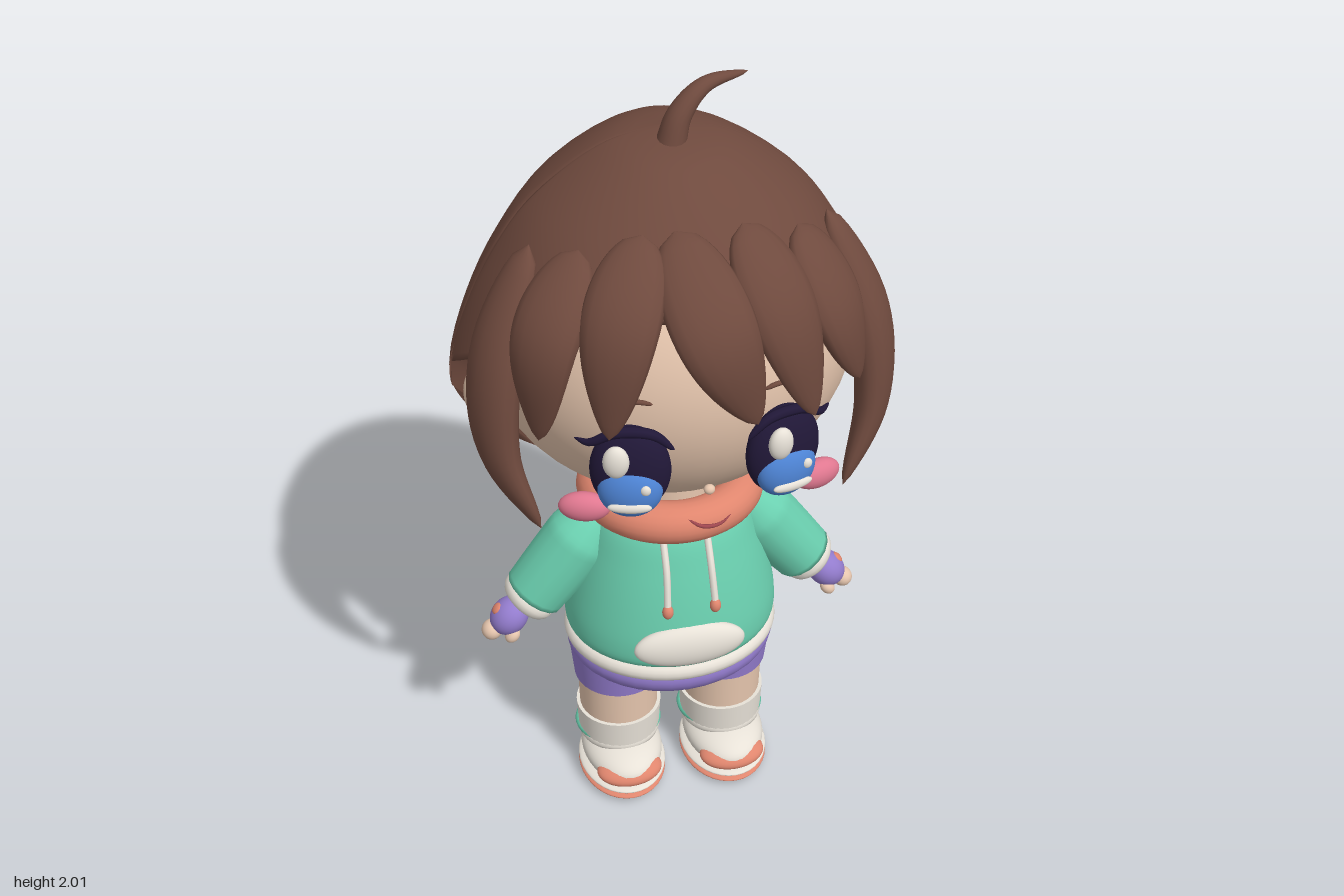
import * as THREE from 'three';

const paint = (name, color, side = THREE.FrontSide) => {
  const m = new THREE.MeshStandardMaterial({ color, side });
  m.name = name;
  return m;
};
const V = (x, y, z) => new THREE.Vector3(x, y, z);

// Closed loops of points, row by row
function grid(rows, cols, fn) {
  const pos = [], idx = [];
  for (let i = 0; i <= rows; i++)
    for (let j = 0; j < cols; j++) pos.push(...fn(i, j / cols).toArray());
  for (let i = 0; i < rows; i++)
    for (let j = 0; j < cols; j++) {
      const k = (j + 1) % cols;
      const a = i * cols + j, b = i * cols + k, c = a + cols, d = b + cols;
      idx.push(a, c, b, b, c, d);
    }
  const g = new THREE.BufferGeometry();
  g.setAttribute('position', new THREE.Float32BufferAttribute(pos, 3));
  g.setIndex(idx);
  g.computeVertexNormals();
  return g;
}

// Oval section swept along a curve; outward(p) gives the thin direction
function sweep(points, width, thick, profile, outward, rows = 24, cols = 16) {
  const curve = new THREE.CatmullRomCurve3(points.map(p => V(...p)));
  return grid(rows, cols, (i, v) => {
    const s = i / rows, p = curve.getPoint(s), t = curve.getTangent(s);
    const n = outward(p).addScaledVector(t, -outward(p).dot(t)).normalize();
    const b = t.clone().cross(n), r = profile(s), q = v * Math.PI * 2;
    return p.addScaledVector(b, width * r * Math.cos(q)).addScaledVector(n, thick * r * Math.sin(q));
  });
}
const leaf = s => Math.pow(Math.max(0, Math.sin(Math.PI * Math.pow(s, 0.75))), 0.65);
const fromHead = p => p.clone().sub(V(0, 1.35, 0.05));
const forward = () => V(0, 0, 1);

export function createModel() {
  const root = new THREE.Group();
  root.name = 'chibiFigure';
  const hair = paint('hairBrown', 0x6f4a3e, THREE.DoubleSide);
  const skin = paint('skin', 0xe6c6ae);
  const teal = paint('hoodieTeal', 0x6bd0b0);
  const coral = paint('coral', 0xe0866e);
  const purple = paint('purple', 0x937ccd);
  const white = paint('cream', 0xe8e2d8);
  const navy = paint('eyeNavy', 0x211838);
  const blue = paint('irisBlue', 0x4f86d8);
  const pink = paint('blushPink', 0xe07890);
  const red = paint('mouthRed', 0xa04850);

  const add = (name, geo, mat, pos = [0, 0, 0], scale = [1, 1, 1], rot = [0, 0, 0], parent = root) => {
    const m = new THREE.Mesh(geo, mat);
    m.name = name;
    m.position.set(...pos);
    m.scale.set(...scale);
    m.rotation.set(...rot);
    parent.add(m);
    return m;
  };
  const sphere = new THREE.SphereGeometry(1, 36, 24);
  const ball = (name, mat, pos, scale, rot, parent) => add(name, sphere, mat, pos, scale, rot, parent);
  const can = (name, mat, pos, top, bottom, h) =>
    add(name, new THREE.CylinderGeometry(top, bottom, h, 36), mat, pos);

  // Head, deeper at the face than at the back
  const headGeo = new THREE.SphereGeometry(1, 48, 32);
  const hp = headGeo.attributes.position;
  for (let i = 0; i < hp.count; i++) hp.setZ(i, hp.getZ(i) * (hp.getZ(i) > 0 ? 0.43 : 0.3));
  headGeo.scale(0.45, 0.425, 1);
  headGeo.computeVertexNormals();
  add('head', headGeo, skin, [0, 1.388, 0.08]);
  can('neck', skin, [0, 0.94, 0.12], 0.11, 0.11, 0.14);

  // Hair cap: rows of height, side, back and front reach, cut by a hairline
  const rows = [[1.89, 0, 0, 0], [1.855, 0.15, 0.15, 0.16], [1.74, 0.31, 0.29, 0.31], [1.6, 0.41, 0.375, 0.42],
    [1.45, 0.48, 0.44, 0.45], [1.3, 0.52, 0.47, 0.46], [1.2, 0.495, 0.445, 0.4], [1.1, 0.41, 0.33, 0.3],
    [1.02, 0.29, 0.18, 0.2], [0.96, 0.15, 0.05, 0.1]];
  const reach = k => new THREE.CatmullRomCurve3(rows.map(r => V(r[1], r[0], r[k])), false, 'catmullrom');
  const back = reach(2), front = reach(3);
  const line = [[0, 2.8], [0.7, 2.9], [1.2, 4.05], [1.6, 4.85], [1.67, 9], [3.2, 9]];
  const hairline = t => {
    const k = line.findIndex(l => l[0] > t), [a, b] = [line[k - 1], line[k]];
    return (a[1] + (b[1] - a[1]) * (t - a[0]) / (b[0] - a[0])) / 9;
  };
  add('hairCap', grid(37, 160, (i, v) => {
    const t = v * Math.PI * 2, rim = i === 37 ? 0.86 : 1, c = Math.cos(t);
    const u = Math.min(i, 36) / 36 * hairline(Math.min(t, Math.PI * 2 - t));
    const p = (c > 0 ? front : back).getPoint(u);
    const depth = c > 0 ? c : -Math.pow(-c, 1.22);
    return V(p.x * Math.sin(t) * rim, p.y, 0.08 + p.z * depth * rim);
  }), hair);

  // Fringe locks: root, middle, tip, width
  const locks = [
    [[-0.25, 1.74, 0.32], [-0.35, 1.57, 0.415], [-0.37, 1.32, 0.42], 0.085],
    [[-0.12, 1.79, 0.37], [-0.2, 1.62, 0.49], [-0.23, 1.37, 0.52], 0.088],
    [[-0.05, 1.79, 0.37], [0.01, 1.61, 0.54], [0.1, 1.38, 0.55], 0.095],
    [[0.1, 1.79, 0.37], [0.17, 1.61, 0.49], [0.24, 1.36, 0.52], 0.088],
    [[0.24, 1.74, 0.32], [0.31, 1.57, 0.415], [0.37, 1.38, 0.43], 0.085]];
  for (const [a, b, c, w] of locks) add('fringeLock', sweep([a, b, c], w, 0.04, leaf, fromHead), hair);
  for (const s of [-1, 1])
    add('sideLock', sweep([[s * 0.34, 1.7, 0.21], [s * 0.435, 1.45, 0.27], [s * 0.445, 1.22, 0.31], [s * 0.365, 1.03, 0.375]],
      0.078, 0.05, leaf, fromHead), hair);
  add('hairSprout', sweep([[-0.005, 1.85, 0.13], [0.02, 1.93, 0.12], [0.08, 1.985, 0.1], [0.19, 1.988, 0.06]],
    0.036, 0.04, s => Math.pow(1 - s, 0.6), forward), hair);

  // Face
  ball('nose', skin, [0, 1.19, 0.515], [0.013, 0.012, 0.012]);
  add('mouth', sweep([[-0.05, 1.118, 0.525], [-0.025, 1.104, 0.535], [0, 1.1, 0.537], [0.025, 1.104, 0.535], [0.05, 1.118, 0.525]],
    0.005, 0.005, leaf, forward, 20, 8), red);
  for (const s of [-1, 1]) {
    ball('ear', skin, [s * 0.455, 1.25, 0.11], [0.04, 0.07, 0.04]);
    ball('cheek', pink, [s * 0.275, 1.135, 0.445], [0.06, 0.037, 0.03], [0, s * 0.3, 0]);
    add('eyebrow', sweep([[s * 0.125, 1.432, 0.495], [s * 0.16, 1.442, 0.492], [s * 0.19, 1.432, 0.482]],
      0.006, 0.006, leaf, forward, 12, 8), hair);
    const eye = new THREE.Group();
    eye.name = 'eye';
    eye.position.set(s * 0.176, 1.258, 0.487);
    eye.rotation.y = s * 0.25;
    root.add(eye);
    ball('eyeBase', navy, [0, 0, 0], [0.092, 0.118, 0.045], [0, 0, 0], eye);
    ball('iris', blue, [0, -0.042, 0.018], [0.074, 0.074, 0.042], [0, 0, 0], eye);
    ball('highlight', white, [-0.03, 0.05, 0.043], [0.03, 0.042, 0.02], [0, 0, 0], eye);
    ball('lowerShine', white, [0, -0.07, 0.053], [0.05, 0.014, 0.012], [0, 0, 0], eye);
    ball('smallShine', white, [0.036, -0.022, 0.052], [0.012, 0.013, 0.008], [0, 0, 0], eye);
    add('eyelash', sweep([[-s * 0.1, 0.065, 0.015], [-s * 0.05, 0.11, 0.02], [s * 0.03, 0.113, 0.02], [s * 0.09, 0.08, 0.01], [s * 0.125, 0.078, -0.01]],
      0.013, 0.013, leaf, forward, 24, 8), navy, [0, 0, 0], [1, 1, 1], [0, 0, 0], eye);
  }

  // Hoodie body, hem and shorts
  const bodyPts = [[0.2, 0.485], [0.262, 0.5], [0.272, 0.56], [0.255, 0.66], [0.225, 0.77], [0.19, 0.86], [0.13, 0.91], [0.05, 0.93]];
  const bodyCurve = new THREE.SplineCurve(bodyPts.map(p => new THREE.Vector2(...p)));
  add('hoodie', new THREE.LatheGeometry(bodyCurve.getPoints(40), 48), teal, [0, 0, 0.13], [1, 1, 0.86]);
  add('hem', new THREE.TorusGeometry(0.252, 0.024, 14, 56), white, [0, 0.477, 0.13], [1, 0.86, 1], [Math.PI / 2, 0, 0]);
  ball('shorts', purple, [0, 0.445, 0.13], [0.27, 0.105, 0.23]);
  ball('pocket', white, [0, 0.57, 0.35], [0.142, 0.062, 0.035], [-0.08, 0, 0]);
  ball('backPatch', white, [0, 0.64, -0.088], [0.038, 0.11, 0.026], [0.1, 0, 0]);
  ball('hood', teal, [0, 0.845, -0.08], [0.2, 0.08, 0.1], [-0.5, 0, 0]);

  // Scarf ring and its two tails
  add('scarf', new THREE.TorusGeometry(0.178, 0.056, 20, 56), coral, [0, 0.923, 0.13], [1, 0.94, 0.95], [Math.PI / 2, 0, 0]);
  const tailProfile = s => (0.68 + 0.32 * s) * Math.min(1, Math.pow((1 - s) * 16, 0.35));
  const behind = () => V(0, 1, -1);
  const A = V(0.03, 0.84, -0.12), B = V(0.055, 0.39, -0.592);
  const at = s => A.clone().lerp(B, s).toArray();
  add('longTail', sweep([at(0), at(1)], 0.102, 0.014, tailProfile, behind, 64), coral);
  add('tailStripe', sweep([at(0.78), at(0.84)], 0.1, 0.018, s => (s === 0 || s === 1 ? 0 : 0.97), behind, 20), white);
  add('shortTail', sweep([[-0.05, 0.83, -0.1], [-0.095, 0.585, -0.32]], 0.07, 0.014, tailProfile, behind, 64), coral);

  for (const s of [-1, 1]) {
    // Drawstring with bead end
    add('drawstring', sweep([[s * 0.055, 0.87, 0.29], [s * 0.056, 0.8, 0.335], [s * 0.06, 0.71, 0.365]],
      0.009, 0.009, () => 1, forward, 16, 8), white);
    ball('drawstringEnd', coral, [s * 0.06, 0.7, 0.366], [0.014, 0.02, 0.014]);

    // Sleeve, cuff and fingerless glove
    add('sleeve', sweep([[s * 0.165, 0.875, 0.13], [s * 0.265, 0.74, 0.13], [s * 0.36, 0.615, 0.13]], 0.09, 0.088,
      q => Math.min(1, Math.pow(q * 3.2, 0.5)) * (q === 1 ? 0.3 : 1) * (1 - 0.12 * q * q), forward), teal);
    const arm = new THREE.Group();
    arm.name = 'hand';
    arm.position.set(s * 0.365, 0.615, 0.13);
    arm.rotation.z = s * 0.75;
    root.add(arm);
    add('cuff', new THREE.TorusGeometry(0.045, 0.029, 14, 32), white, [0, 0, 0], [1, 1, 1], [Math.PI / 2, 0, 0], arm);
    ball('glove', purple, [0, -0.08, 0], [0.046, 0.055, 0.048], [0, 0, 0], arm);
    ball('finger', skin, [s * 0.008, -0.14, 0], [0.026, 0.027, 0.028], [0, 0, 0], arm);
    ball('thumb', skin, [-s * 0.03, -0.11, 0.03], [0.017, 0.022, 0.018], [0, 0, 0], arm);
    ball('gloveDot', coral, [s * 0.042, -0.08, 0], [0.008, 0.016, 0.016], [0, 0, 0], arm);

    // Leg, sock and shoe
    const x = s * 0.14;
    can('shortsLeg', purple, [x, 0.385, 0.135], 0.128, 0.115, 0.12);
    can('leg', skin, [x, 0.25, 0.135], 0.108, 0.1, 0.24);
    can('sock', white, [x, 0.175, 0.135], 0.112, 0.108, 0.08);
    add('ankleRoll', new THREE.TorusGeometry(0.088, 0.022, 12, 40), white, [x, 0.13, 0.135], [1, 1, 1], [Math.PI / 2, 0, 0]);
    add('ankleBand', new THREE.TorusGeometry(0.104, 0.011, 10, 40), teal, [x, 0.133, 0.124], [1, 1, 1], [Math.PI / 2 - 0.1, 0, 0]);
    ball('shoe', white, [x, 0.08, 0.165], [0.106, 0.056, 0.15]);
    ball('toeCap', coral, [x, 0.078, 0.267], [0.087, 0.03, 0.055], [0.25, 0, 0]);
    ball('midsole', white, [x, 0.036, 0.168], [0.115, 0.017, 0.152]);
    ball('sole', coral, [x, 0.016, 0.168], [0.115, 0.016, 0.152]);
  }
  return root;
}
